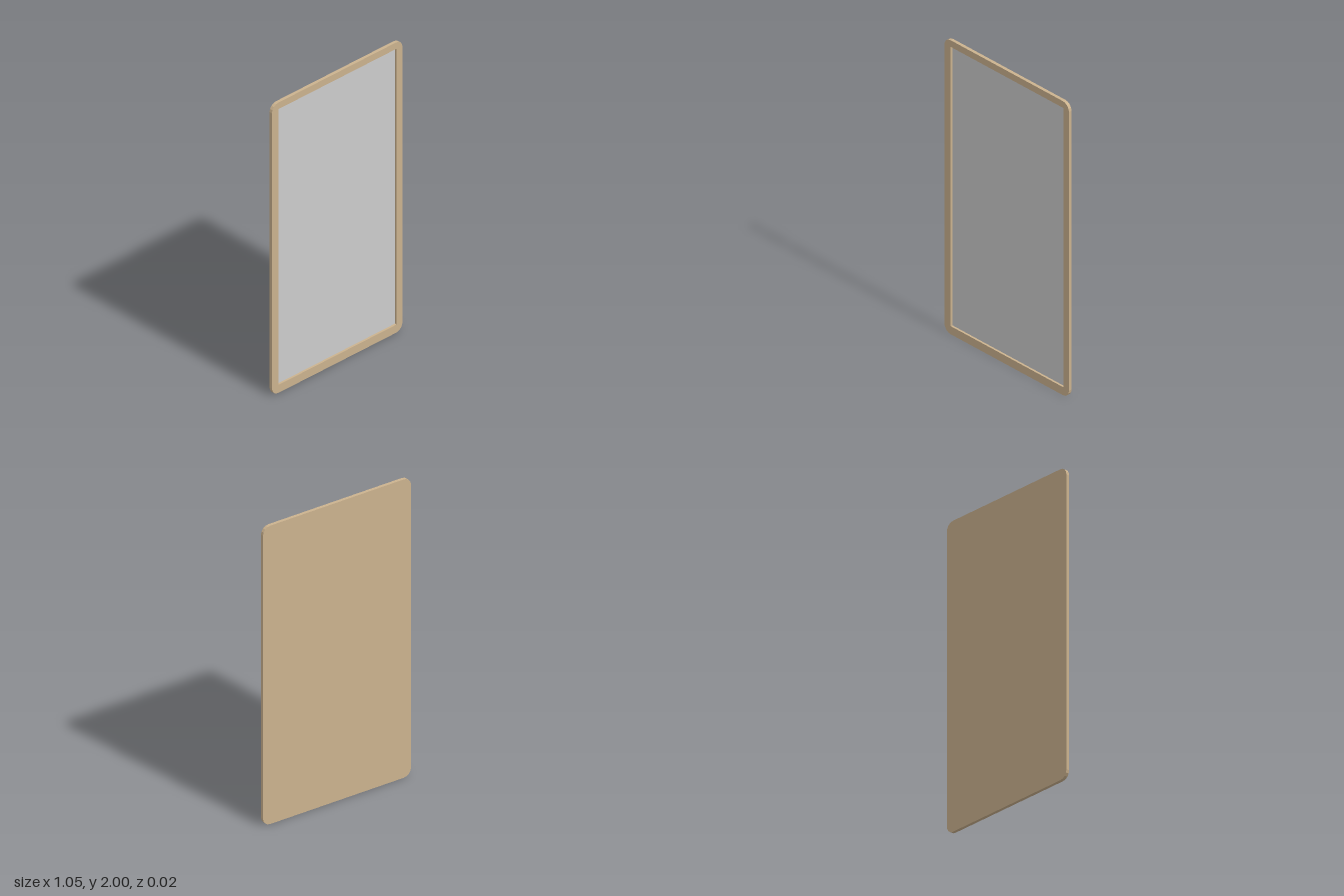
import * as THREE from 'three';

const X = 0.527, H = 2, R = 0.052;       // outer half width, height, corner radius
const BACK = -0.011, FRONT = 0.01, FLOOR = -0.004; // depth levels
const OPEN = { x0: -0.475, x1: 0.48, y0: 0.055, y1: 1.955 };

// Outline with rounded corners
function outline() {
  const s = new THREE.Shape();
  const corners = [[X - R, R, -0.5], [X - R, H - R, 0], [-X + R, H - R, 0.5], [-X + R, R, 1]];
  for (const [cx, cy, a] of corners) s.absarc(cx, cy, R, a * Math.PI, (a + 0.5) * Math.PI, false);
  s.closePath();
  return s;
}

function extrude(shape, z0, z1) {
  const g = new THREE.ExtrudeGeometry(shape, { depth: z1 - z0, bevelEnabled: false, curveSegments: 2 });
  return g.translate(0, 0, z0);
}

export function createModel() {
  const group = new THREE.Group();
  const wood = new THREE.MeshStandardMaterial({ color: 0xcbb28e, flatShading: true });
  const grey = new THREE.MeshStandardMaterial({ color: 0xcccccc, flatShading: true });

  const add = (name, geometry, material) => {
    const mesh = new THREE.Mesh(geometry, material);
    mesh.name = name;
    group.add(mesh);
  };

  // Solid back board
  add('backBoard', extrude(outline(), BACK, FLOOR - 0.001), wood);

  // Raised border around the opening
  const border = outline();
  const { x0, x1, y0, y1 } = OPEN;
  border.holes.push(new THREE.Path([[x0, y0], [x0, y1], [x1, y1], [x1, y0]].map(p => new THREE.Vector2(...p))));
  add('frameBorder', extrude(border, FLOOR - 0.001, FRONT), wood);

  // Recessed panel
  const panel = new THREE.PlaneGeometry(x1 - x0, y1 - y0);
  panel.translate((x0 + x1) / 2, (y0 + y1) / 2, FLOOR);
  add('panel', panel, grey);

  return group;
}
